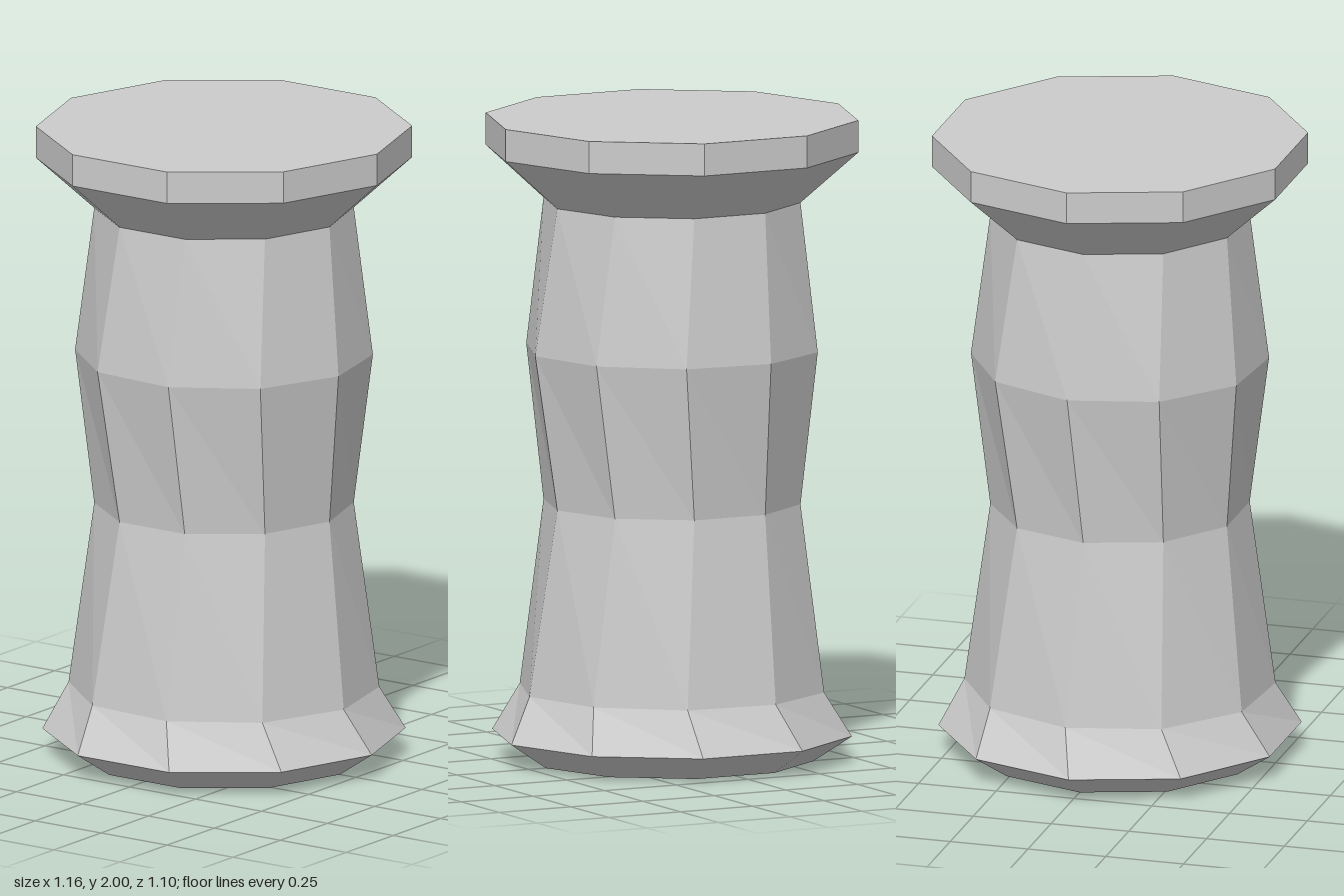
import * as THREE from 'three';

const SIDES = 10;

// A ring is [height, radius, twist in radians]
function ringPoint([y, r, twist], j) {
  const a = (j / SIDES) * Math.PI * 2 + twist;
  return [r * Math.cos(a), y, r * Math.sin(a)];
}

// Faceted skin through a stack of rings, with optional end caps
function ringStack(name, rings, material, { bottom = false, top = false } = {}) {
  const pos = [];
  const tri = (a, b, c) => pos.push(...a, ...b, ...c);
  const first = rings[0], last = rings[rings.length - 1];
  for (let j = 0; j < SIDES; j++) {
    for (let i = 0; i < rings.length - 1; i++) {
      const br = ringPoint(rings[i], j), bl = ringPoint(rings[i], j + 1);
      const tr = ringPoint(rings[i + 1], j), tl = ringPoint(rings[i + 1], j + 1);
      tri(br, tr, tl);
      tri(br, tl, bl);
    }
    if (bottom) tri([0, first[0], 0], ringPoint(first, j), ringPoint(first, j + 1));
    if (top) tri([0, last[0], 0], ringPoint(last, j + 1), ringPoint(last, j));
  }
  const geometry = new THREE.BufferGeometry();
  geometry.setAttribute('position', new THREE.Float32BufferAttribute(pos, 3));
  geometry.computeVertexNormals();
  const mesh = new THREE.Mesh(geometry, material);
  mesh.name = name;
  return mesh;
}

export function createModel() {
  const group = new THREE.Group();
  group.name = 'pillar';
  const stone = new THREE.MeshStandardMaterial({ color: 0xcccccc, flatShading: true });
  stone.name = 'grey stone';

  const foot = [0.22, 0.48, 0.072];
  const neck = [1.74, 0.4, 0];

  // Flared foot, undercut at the ground
  group.add(ringStack('foot', [[0, 0.44, 0], [0.08, 0.56, 0], foot], stone, { bottom: true }));
  // Shaft with a narrow waist and a slightly twisted belly
  group.add(ringStack('shaft', [foot, [0.8, 0.4, 0], [1.28, 0.46, 0.075], neck], stone));
  // Flared head with a flat slab on top
  group.add(ringStack('head', [neck, [1.9, 0.58, 0], [2, 0.58, 0]], stone, { top: true }));

  return group;
}
